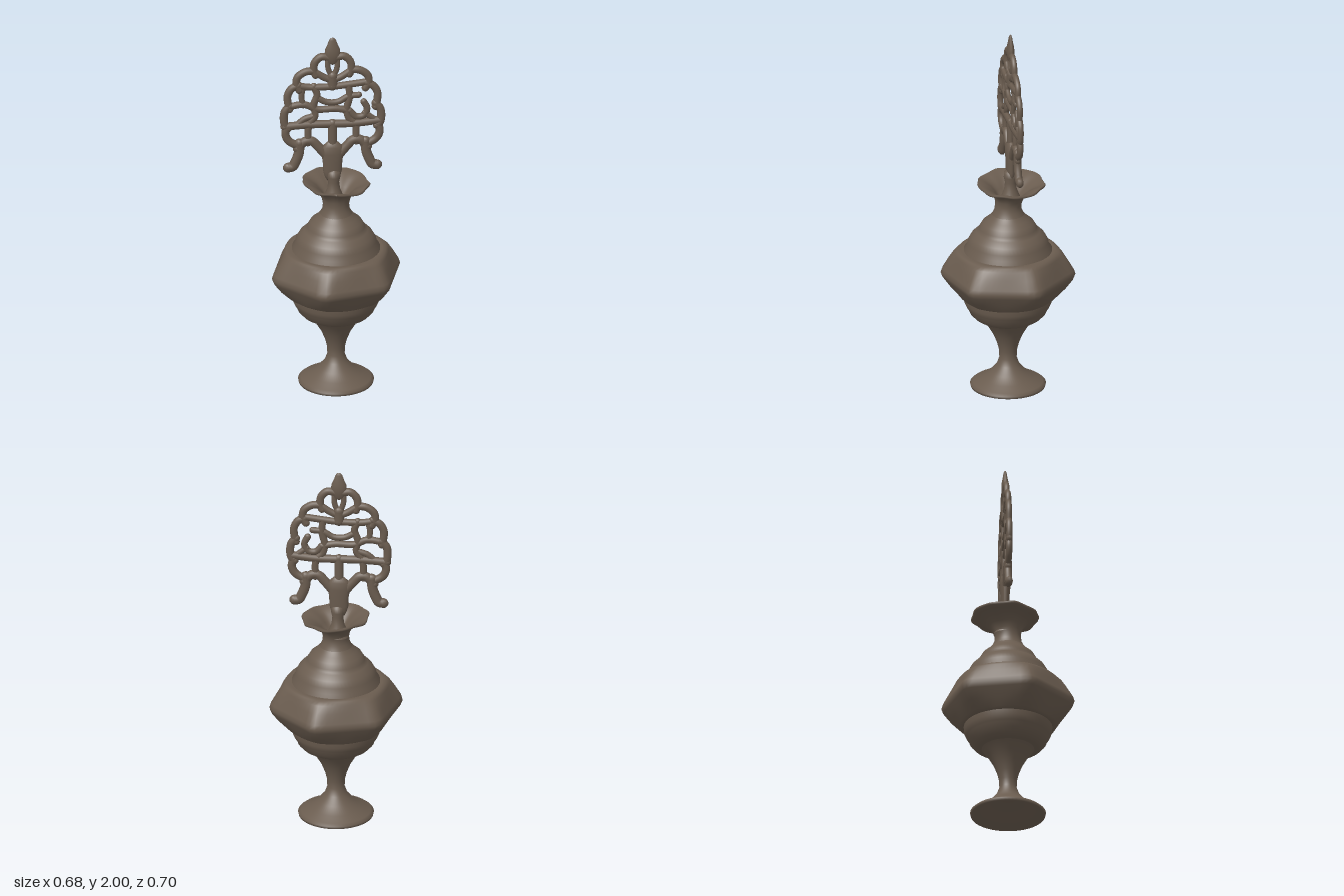
import * as THREE from 'three';

export function createModel() {
  const model = new THREE.Group();
  const bronze = new THREE.MeshStandardMaterial({ color: 0x6a5c4f });
  bronze.name = 'aged bronze';

  const add = (parent, name, geometry) => {
    const mesh = new THREE.Mesh(geometry, bronze);
    mesh.name = name;
    parent.add(mesh);
    return mesh;
  };
  const lathe = (points, segments = 64) =>
    new THREE.LatheGeometry(points.map(([r, y]) => new THREE.Vector2(r, y)), segments);

  // Turned parts: hollow foot, lower bowl, dome and neck
  add(model, 'foot', lathe([
    [0, 0.11], [0.05, 0.09], [0.12, 0.045], [0.185, 0.004], [0.197, 0.004], [0.2, 0.018], [0.185, 0.03],
    [0.14, 0.052], [0.095, 0.085], [0.06, 0.125], [0.046, 0.165], [0.047, 0.205], [0.058, 0.25],
    [0.078, 0.3], [0.105, 0.345], [0.135, 0.385], [0.15, 0.4]]));
  add(model, 'lowerBowl', lathe([
    [0.12, 0.388], [0.155, 0.39], [0.18, 0.405], [0.203, 0.43], [0.213, 0.455], [0.22, 0.463],
    [0.232, 0.49], [0.235, 0.53]]));
  add(model, 'dome', lathe([
    [0.235, 0.76], [0.233, 0.785], [0.218, 0.8], [0.213, 0.83], [0.195, 0.862], [0.168, 0.888],
    [0.155, 0.896], [0.152, 0.91], [0.135, 0.938], [0.108, 0.96], [0.085, 0.985], [0.07, 1.01]]));

  // Flared mouth with a wavy, slightly tilted rim
  const mouth = lathe([
    [0.085, 0.985], [0.073, 1.01], [0.069, 1.04], [0.075, 1.07], [0.09, 1.1], [0.12, 1.127], [0.155, 1.14],
    [0.174, 1.149], [0.178, 1.158], [0.172, 1.163], [0.14, 1.15], [0.105, 1.13], [0.075, 1.1],
    [0.05, 1.07], [0, 1.06]], 72);
  const mp = mouth.attributes.position;
  for (let i = 0; i < mp.count; i++) {
    const x = mp.getX(i), y = mp.getY(i), z = mp.getZ(i);
    const t = THREE.MathUtils.smoothstep(y, 1.02, 1.16), a = Math.atan2(z, x);
    const wave = 1 + 0.022 * t * Math.sin(9 * a + 1) + 0.012 * t * Math.sin(4 * a);
    mp.setXYZ(i, x * wave, y - 0.06 * x * t + 0.004 * t * Math.sin(5 * a), z * wave - 0.016 * t);
  }
  mouth.computeVertexNormals();
  add(model, 'mouth', mouth);

  // Six-sided belt: round rings blending into a hexagon at the widest level
  const phase = THREE.MathUtils.degToRad(41), N = 72;
  const hexRadius = (a) => {
    const s = Math.PI / 3;
    const d = ((((a - phase) % s) + s) % s) - s / 2;
    return Math.min(Math.cos(Math.PI / 6) / Math.cos(d), 0.972);
  };
  const rings = [ // y, corner radius, hexagon share
    [0.517, 0.2, 0], [0.517, 0.236, 0], [0.519, 0.245, 0.1], [0.528, 0.268, 0.4], [0.57, 0.316, 0.9],
    [0.62, 0.356, 1], [0.645, 0.366, 1], [0.67, 0.358, 1], [0.72, 0.326, 0.85], [0.76, 0.295, 0.5],
    [0.777, 0.272, 0.25], [0.782, 0.245, 0], [0.778, 0.2, 0]];
  const pos = [], idx = [];
  rings.forEach(([y, r, w], j) => {
    for (let i = 0; i < N; i++) {
      const a = (i / N) * Math.PI * 2;
      const q = r * (1 - w + w * hexRadius(a));
      pos.push(q * Math.cos(a), y, q * Math.sin(a));
      if (j) {
        const k = (i + 1) % N, b = (j - 1) * N, t = j * N;
        idx.push(b + i, t + i, b + k, b + k, t + i, t + k);
      }
    }
  });
  const belt = new THREE.BufferGeometry();
  belt.setAttribute('position', new THREE.Float32BufferAttribute(pos, 3));
  belt.setIndex(idx);
  belt.computeVertexNormals();
  add(model, 'hexagonalBelt', belt);

  // Post rising out of the mouth
  const post = add(model, 'post', lathe([
    [0.06, 1.05], [0.05, 1.08], [0.034, 1.12], [0.029, 1.16], [0.036, 1.19], [0.034, 1.22], [0, 1.25]], 24));
  post.position.set(-0.012, 0, -0.015);

  // Flat openwork plaque, drawn with flattened rounded rods
  const plaque = new THREE.Group();
  plaque.name = 'openworkPlaque';
  plaque.position.set(-0.018, 0, -0.016);
  plaque.rotation.y = 0.063;
  plaque.scale.z = 0.76;
  model.add(plaque);

  const rod = (name, points, r = 0.02) => {
    const v = points.map(([x, y]) => new THREE.Vector3(x, y, 0));
    const curve = new THREE.CatmullRomCurve3(v, false, 'centripetal');
    add(plaque, name, new THREE.TubeGeometry(curve, points.length * 6, r, 10));
    for (const p of [v[0], v[v.length - 1]])
      add(plaque, name + 'End', new THREE.SphereGeometry(r, 10, 8)).position.copy(p);
  };
  const pair = (name, points, r) => {
    for (const s of [-1, 1]) rod(name, points.map(([x, y]) => [x * s, y]), r);
  };

  // Scalloped border
  pair('borderLobe', [[0.02, 1.885], [0.06, 1.89], [0.093, 1.86], [0.1, 1.815], [0.09, 1.785]], 0.021);
  pair('borderLobe', [[0.1, 1.81], [0.145, 1.805], [0.185, 1.775], [0.192, 1.735], [0.175, 1.7]], 0.021);
  pair('borderLobe', [[0.18, 1.73], [0.217, 1.71], [0.238, 1.67], [0.235, 1.62], [0.228, 1.59]], 0.021);
  pair('borderLobe', [[0.228, 1.61], [0.253, 1.575], [0.258, 1.53], [0.25, 1.495], [0.235, 1.48]], 0.022);
  pair('borderLobe', [[0.24, 1.49], [0.25, 1.45], [0.235, 1.41], [0.2, 1.385], [0.165, 1.375]], 0.022);

  // Splayed legs and lower arches
  pair('leg', [[0.175, 1.39], [0.178, 1.335], [0.195, 1.285], [0.212, 1.255], [0.236, 1.25]], 0.027);
  pair('lowerArch', [[0.185, 1.36], [0.145, 1.4], [0.11, 1.4], [0.075, 1.365], [0.03, 1.31]], 0.025);

  // Bud at the tip and the petals below it
  const bud = add(plaque, 'tipBud', lathe([
    [0, 1.84], [0.034, 1.86], [0.042, 1.9], [0.04, 1.93], [0.027, 1.96], [0.019, 1.985], [0.01, 1.997],
    [0, 2]], 20));
  bud.scale.z = 0.6;
  pair('petal', [[0, 1.77], [0.02, 1.81], [0.026, 1.85], [0.02, 1.885]], 0.015);
  pair('petal', [[0, 1.75], [0.045, 1.77], [0.09, 1.8]], 0.019);
  rod('heart', [[0, 1.72], [0, 1.775]], 0.028);

  // Interlaced lattice
  rod('crossBar', [[-0.18, 1.725], [-0.12, 1.715], [0, 1.715], [0.1, 1.725], [0.18, 1.735]], 0.019);
  rod('crossBar', [[-0.235, 1.605], [-0.15, 1.615], [-0.08, 1.585], [0.02, 1.585], [0.09, 1.57]], 0.019);
  rod('crossBar', [[-0.255, 1.49], [-0.13, 1.497], [0, 1.497], [0.12, 1.497], [0.255, 1.51]], 0.022);
  rod('upright', [[-0.1, 1.72], [-0.082, 1.67], [-0.1, 1.61], [-0.092, 1.55], [-0.125, 1.49], [-0.13, 1.39]], 0.019);
  rod('upright', [[0.085, 1.72], [0.09, 1.65], [0.075, 1.58], [0.085, 1.53], [0.12, 1.49], [0.125, 1.39]], 0.019);
  rod('upright', [[-0.155, 1.72], [-0.165, 1.66], [-0.155, 1.61]], 0.016);
  rod('innerArch', [[-0.08, 1.65], [-0.03, 1.625], [0.03, 1.625], [0.085, 1.655], [0.14, 1.66]], 0.017);
  rod('hook', [[0.09, 1.57], [0.125, 1.535], [0.165, 1.54], [0.183, 1.58], [0.165, 1.62]], 0.018);
  rod('hookLink', [[0.17, 1.555], [0.215, 1.52]], 0.016);
  rod('leftLink', [[-0.105, 1.545], [-0.15, 1.53], [-0.185, 1.5]], 0.017);
  rod('centreUpright', [[0, 1.5], [0, 1.36]], 0.024);

  // Swollen stem carrying the plaque
  const stem = add(plaque, 'stem', lathe([
    [0, 1.165], [0.03, 1.17], [0.042, 1.195], [0.05, 1.225], [0.052, 1.28], [0.06, 1.325], [0.056, 1.365],
    [0.03, 1.39], [0, 1.4]], 24));
  stem.scale.z = 0.62;

  return model;
}
